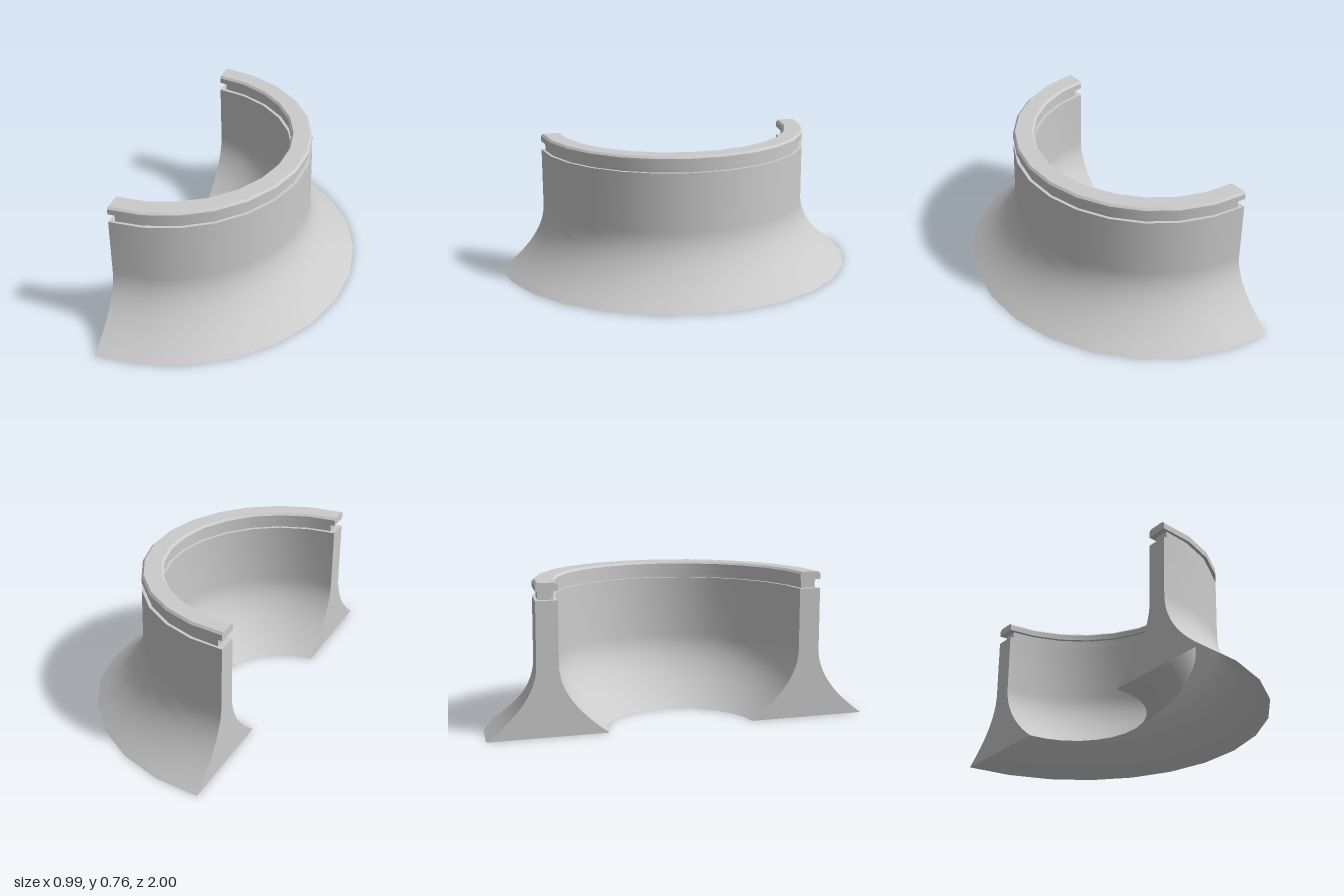
import * as THREE from 'three';
import { mergeGeometries, toCreasedNormals } from 'three/addons/utils/BufferGeometryUtils.js';

const SEGMENTS = 13;      // facets around the half turn
const AXIS_X = -0.4964;   // x of the turning axis

const material = new THREE.MeshStandardMaterial({ color: 0xcccccc, side: THREE.DoubleSide });

// Half-turn sweep of a counter-clockwise [radius, y] profile, with flat ends set in by `inset`.
function halfRing(name, profile, inset = 0) {
  const points = profile.map(([r, y]) => new THREE.Vector2(r, y));
  const skin = new THREE.LatheGeometry(points, SEGMENTS, 0, Math.PI);
  const pos = skin.attributes.position;
  for (let i = 0; i < pos.count; i++) pos.setX(i, Math.max(pos.getX(i), inset));

  const ends = [1, -1].map((side) => {
    const shape = new THREE.Shape(points.map((p) => new THREE.Vector2(p.x * side, p.y)));
    return new THREE.ShapeGeometry(shape).rotateY(-Math.PI / 2).translate(inset, 0, 0);
  });

  const parts = [skin, ...ends].map((g) => g.toNonIndexed());
  const mesh = new THREE.Mesh(toCreasedNormals(mergeGeometries(parts), Math.PI / 6), material);
  mesh.name = name;
  return mesh;
}

// Concave flare easing from the foot radius into the vertical wall.
function flare(foot, wall, height, steps = 12) {
  return Array.from({ length: steps + 1 }, (_, i) => {
    const t = i / steps;
    return [wall + (foot - wall) * (1 - t) ** 2, height * t];
  });
}

export function createModel() {
  const group = new THREE.Group();
  group.name = 'flaredHalfCollar';

  const outer = 0.747, inner = 0.635;
  const wallTop = 0.678, lipBottom = 0.724, lipEdge = 0.754, lipTop = 0.765;
  const bevel = 0.011;

  // Wall with flared skirt, hollow and open underneath
  const body = halfRing('flaredWall', [
    ...flare(1, outer, 0.36),
    [outer, wallTop],
    [inner, wallTop],
    ...flare(0.381, inner, 0.36).reverse(),
  ]);

  // Recessed neck between wall and lip, shorter at both ends
  const neck = halfRing('neck', [
    [0.73, wallTop], [0.73, lipBottom], [0.652, lipBottom], [0.652, wallTop],
  ], 0.03);

  // Bevelled lip
  const lip = halfRing('topLip', [
    [inner, lipBottom], [outer, lipBottom], [outer, lipEdge], [outer - bevel, lipTop],
    [inner + bevel, lipTop], [inner, lipEdge], [inner, lipBottom],
  ]);

  group.add(body, neck, lip);
  for (const part of group.children) part.position.x = AXIS_X;
  return group;
}
